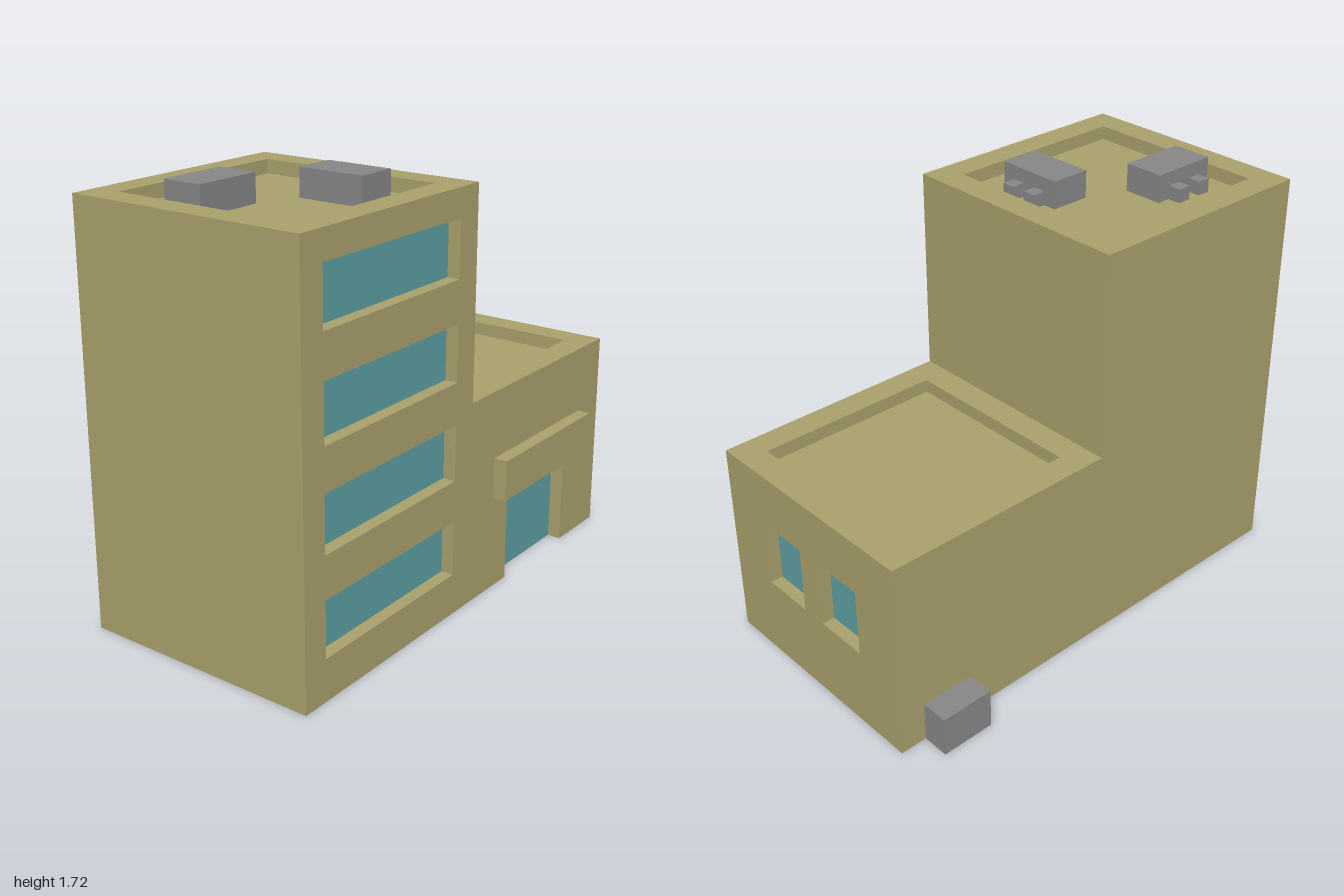
import * as THREE from 'three';

const U = 1 / 18; // building module: wall, recess and parapet steps
const FRONT = 0.528, BACK = -0.472, INNER = FRONT - U;
const TALL = 30 * U, LOW = 15 * U, DOOR_BACK = INNER - 0.028;

const wall = new THREE.MeshStandardMaterial({ color: 0xa9a06c });
wall.name = 'wall';
const glass = new THREE.MeshStandardMaterial({ color: 0x5c9fa1 });
glass.name = 'glass';
const metal = new THREE.MeshStandardMaterial({ color: 0x868686 });
metal.name = 'metal';

const polygon = (points) => new THREE.Shape(points.map(([x, y]) => new THREE.Vector2(x, y)));
const rect = (a, b, c, d) => polygon([[a, c], [b, c], [b, d], [a, d]]);
const extrude = (shape, depth) => new THREE.ExtrudeGeometry(shape, { depth, bevelEnabled: false });

export function createModel() {
  const model = new THREE.Group();
  model.name = 'building';

  const add = (name, geometry, material, parent = model) => {
    const mesh = new THREE.Mesh(geometry, material);
    mesh.name = name;
    parent.add(mesh);
    return mesh;
  };
  // Box given by its limits on each axis
  const box = (name, material, [x0, x1], [y0, y1], [z0, z1], parent) => {
    const mesh = add(name, new THREE.BoxGeometry(x1 - x0, y1 - y0, z1 - z0), material, parent);
    mesh.position.set((x0 + x1) / 2, (y0 + y1) / 2, (z0 + z1) / 2);
    return mesh;
  };
  // Floor plan in (x, -z) raised from y0 by height
  const raise = (name, shape, y0, height) => {
    add(name, extrude(shape, height).rotateX(-Math.PI / 2).translate(0, y0, 0), wall);
  };

  // Front wall with door notch and a window band per storey
  const facade = polygon([
    [-1, 0], [0.275, 0], [0.275, 7 * U], [0.725, 7 * U], [0.725, 0],
    [1, 0], [1, LOW], [0, LOW], [0, TALL], [-1, TALL],
  ]);
  for (let i = 0; i < 4; i++) {
    const y0 = (3 + 7 * i) * U, y1 = y0 + 4 * U;
    facade.holes.push(rect(-16 * U, -2 * U, y0, y1));
    box('frontWindow', glass, [-16 * U, -2 * U], [y0, y1], [INNER - 0.004, INNER + 0.004]);
  }
  add('frontWall', extrude(facade, U), wall).position.z = INNER;

  // Side wall of the low wing with two windows
  const side = rect(-INNER, -BACK, 0, LOW);
  for (const z of [0.083, -0.25]) {
    side.holes.push(rect(-z - 4 * U, -z, 6 * U, 11 * U));
    box('sideWindow', glass, [1 - U - 0.004, 1 - U + 0.004], [6 * U, 11 * U], [z, z + 4 * U]);
  }
  add('sideWall', extrude(side, U).rotateY(Math.PI / 2).translate(1 - U, 0, 0), wall);

  // Solid cores up to the sunken roof decks
  raise('towerCore', rect(-1, 0, -INNER, -BACK), 0, TALL - U);
  raise('wingCore', polygon([
    [0, -INNER], [0.275, -INNER], [0.275, -DOOR_BACK], [0.725, -DOOR_BACK],
    [0.725, -INNER], [1 - U, -INNER], [1 - U, -BACK], [0, -BACK],
  ]), 0, LOW - U);

  // Parapet rims around both roofs
  for (const [name, x0, x1, h0, top] of [
    ['towerParapet', -1, 0, -16 * U, TALL],
    ['wingParapet', 0, 1 - U, 2 * U, LOW],
  ]) {
    const rim = rect(x0, x1, -INNER, -BACK);
    rim.holes.push(rect(h0, h0 + 14 * U, -FRONT + 2 * U, -BACK - 2 * U));
    raise(name, rim, top - U, U);
  }

  // Entrance
  box('door', glass, [0.275, 0.725], [0, 7 * U], [DOOR_BACK, INNER]);
  box('canopy', wall, [3 * U, 15 * U], [7 * U, 10 * U], [FRONT, FRONT + U]);

  // Rooftop units, each with two small outlets on one long side
  const roofUnit = (x, z, turn) => {
    const unit = new THREE.Group();
    unit.name = 'roofUnit';
    box('unitBody', metal, [-0.139, 0.139], [0, 2 * U], [-0.083, 0.083], unit);
    for (const c of [-U, U]) {
      box('unitOutlet', metal, [c - U / 2, c + U / 2], [0, U], [-0.083 - U, -0.083], unit);
    }
    unit.position.set(x, TALL - U, z);
    unit.rotation.y = turn;
    model.add(unit);
  };
  roofUnit(-0.695, -0.115, 0);
  roofUnit(-0.307, 0.166, -Math.PI / 2);

  // Ground unit behind the wing
  box('groundUnit', metal, [12 * U, 16 * U], [0, 3 * U], [BACK - 2 * U, BACK]);

  return model;
}
